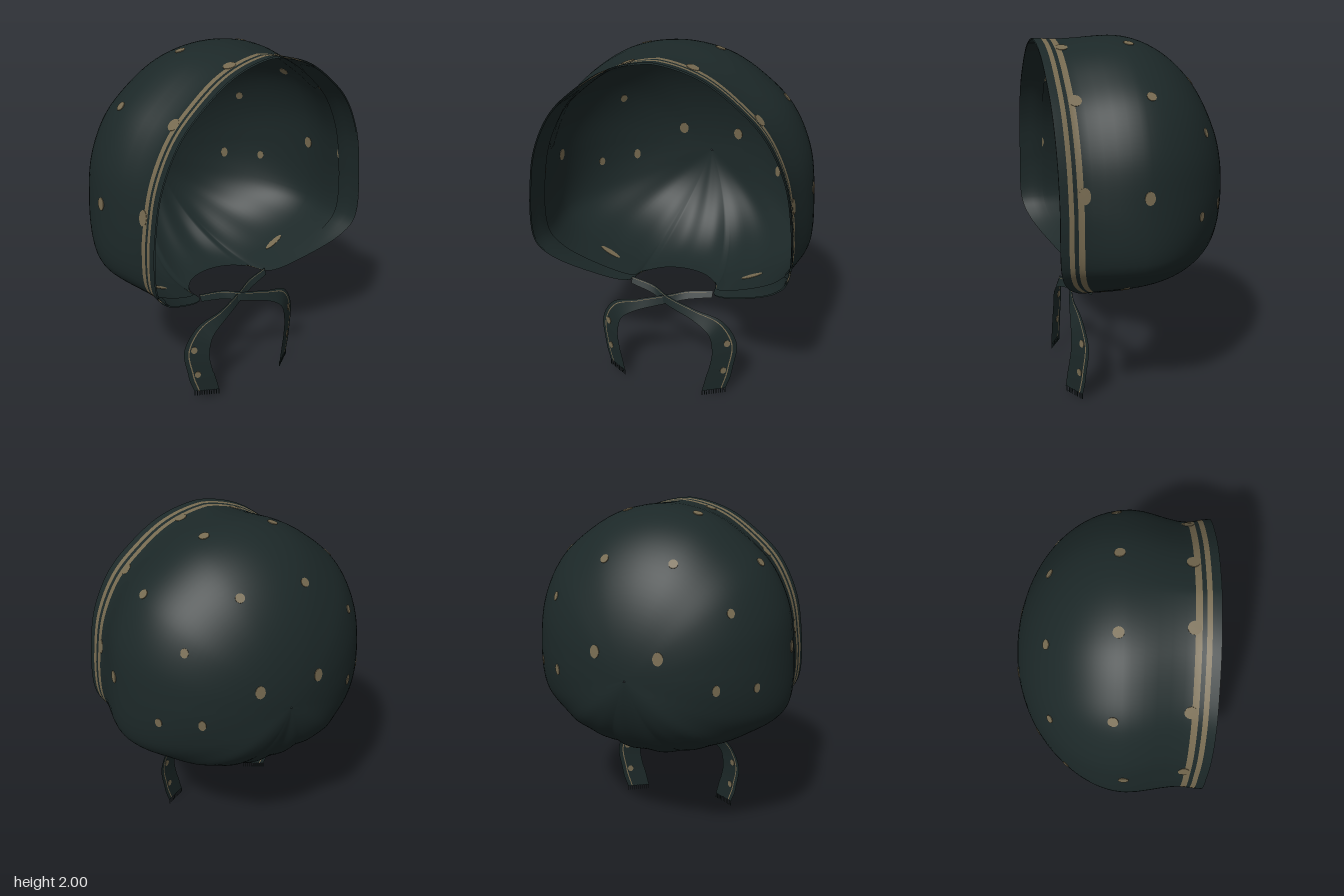
import * as THREE from 'three';

const V = (x, y, z) => new THREE.Vector3(x, y, z);
const cloth = new THREE.MeshStandardMaterial({ color: 0x1c2828, side: THREE.DoubleSide });
cloth.name = 'dark green cloth';
const tan = new THREE.MeshStandardMaterial({ color: 0x766a50, side: THREE.DoubleSide });
tan.name = 'tan print';

// Sheet of rows x columns; isTan(i) colours the strip between row i and i + 1
function sheet(name, rows, cols, wrap, point, isTan) {
  const pos = [], index = [], geo = new THREE.BufferGeometry();
  const n = wrap ? cols : cols + 1;
  for (const r of rows) for (let j = 0; j < n; j++) pos.push(...point(j / cols, r).toArray());
  for (let i = 0; i < rows.length - 1; i++) {
    geo.addGroup(index.length, cols * 6, isTan(i) ? 1 : 0);
    for (let j = 0; j < cols; j++) {
      const a = i * n + j, b = i * n + (j + 1) % n;
      index.push(a, b, a + n, b, b + n, a + n);
    }
  }
  geo.setAttribute('position', new THREE.Float32BufferAttribute(pos, 3));
  geo.setIndex(index);
  geo.computeVertexNormals();
  const mesh = new THREE.Mesh(geo, [cloth, tan]);
  mesh.name = name;
  return mesh;
}

// Thin round patch that shows on both sides of the cloth
function dot(name, p, normal, radius, stretch = 1) {
  const mesh = new THREE.Mesh(new THREE.CylinderGeometry(radius, radius, 0.006, 14), tan);
  mesh.name = name;
  mesh.position.copy(p);
  const up = V(0, 1, 0).projectOnPlane(normal).normalize();
  mesh.quaternion.setFromRotationMatrix(
    new THREE.Matrix4().makeBasis(V().crossVectors(normal, up), normal, up));
  mesh.scale.z = stretch;
  return mesh;
}

// Free edge: face rim from the crown down to the neck, then round the neck hole
const half = [
  [0, 2, 0.52], [0.255, 1.955, 0.52], [0.465, 1.83, 0.52], [0.61, 1.69, 0.52],
  [0.715, 1.475, 0.52], [0.752, 1.24, 0.52], [0.75, 0.92, 0.52], [0.68, 0.82, 0.49],
  [0.465, 0.69, 0.39], [0.27, 0.605, 0.28], [0.23, 0.585, 0.13], [0.13, 0.58, 0.03], [0, 0.58, 0],
].map((p) => V(...p));
const edge = new THREE.CatmullRomCurve3(
  [...half, ...half.slice(1, -1).reverse().map((p) => V(-p.x, p.y, p.z))], true, 'centripetal');
const BACK = -0.52, MID = 1.17;
const { smoothstep, lerp } = THREE.MathUtils;

// v 0..1 runs from the back of the head to the widest ring, 1..2 on to the free edge
function bonnetPoint(u, v) {
  const b = edge.getPoint(u % 1);
  const c = Math.min(0.1, b.z);
  const phi = Math.min(v, 1) * Math.PI / 2;
  const z = v <= 1 ? c + (BACK - c) * Math.cos(phi) : lerp(c, b.z, v - 1);
  const a = Math.abs(Math.atan2(b.x, MID - b.y));
  // flatter towards the nape, fuller below the ears
  const power = 1 + 0.15 * Math.exp(-((a / 0.22) ** 2)) - 0.25 * Math.exp(-(((a - 0.75) / 0.4) ** 2));
  let k = Math.sin(phi) ** power;
  // the cheek corner rounds off towards the back
  if (b.y < MID) k *= lerp(1 / Math.hypot(b.x / 0.752, (MID - b.y) / 0.6), 1, smoothstep(v, 0.3, 1));
  // gathered pleats towards the nape
  if (v < 1) k *= 1 - 0.008 * (1 - smoothstep(a, 0.5, 1.5)) * Math.sin(Math.PI * v) * Math.cos(a * 19);
  const p = V(b.x * k, MID + (b.y - MID) * k, z);
  // draws in ahead of the ears, then flares a little at the hem
  if (z > 0.1) {
    const t = smoothstep(z, 0.1, 0.4) - 0.3 * smoothstep(z, 0.4, 0.52);
    const diagonal = b.y > MID ? Math.abs(Math.sin(2 * a)) : 0;
    p.x *= 1 - t * (0.05 + 0.035 * diagonal) * smoothstep(p.y, 0.6, 0.85);
    if (b.y > MID) p.y -= (p.y - MID) * t * (0.018 + 0.04 * diagonal);
  }
  return p;
}

function bonnet() {
  const group = new THREE.Group();
  group.name = 'bonnet';
  const rows = [];
  for (let i = 0; i <= 28; i++) rows.push(Math.max(i / 28, 0.002));
  rows.push(1.15, 1.3, 1.45, 1.6);
  const first = rows.length;
  rows.push(1.71, 1.785, 1.835, 1.895, 2);
  group.add(sheet('hood', rows, 192, true, bonnetPoint, (i) => i === first || i === first + 2));

  // plain lining behind the striped hem
  const liningPoint = (u, v) => {
    const p = bonnetPoint(u, v);
    return V(p.x * 0.99, MID + (p.y - MID) * 0.99, p.z);
  };
  group.add(sheet('hemLining', [1.66, 1.72, 1.78, 1.84, 1.9, 2], 192, true, liningPoint, () => false));

  // printed dots: approximate place, radius, stretch
  const samples = [];
  for (let i = 0; i < 240; i++) for (let j = 2; j < 98; j++) {
    const u = i / 240, v = j / 50;
    samples.push({ u, v, p: bonnetPoint(u, v) });
  }
  const spots = [
    [0.19, 1.76, -0.31, 0.025, 1], [0.185, 1.31, -0.49, 0.028, 1.3], [0.5, 1.52, -0.29, 0.021, 1.2],
    [0.455, 1.13, -0.39, 0.021, 1.5], [0.62, 1.13, -0.205, 0.02, 1.3], [0.2, 1.96, 0.035, 0.028, 1],
    [0.565, 1.74, 0.025, 0.026, 1], [0.75, 1.275, 0.075, 0.027, 1.3], [0.44, 0.69, 0.12, 0.02, 3.4],
    [0.18, 1.95, 0.395, 0.033, 1], [0.53, 1.73, 0.395, 0.033, 1], [0.72, 1.28, 0.395, 0.03, 1.4],
  ];
  for (const [x, y, z, r, stretch] of spots) for (const side of [1, -1]) {
    const target = V(x * side, y, z);
    let best = samples[0];
    for (const s of samples) if (s.p.distanceToSquared(target) < best.p.distanceToSquared(target)) best = s;
    const { u, v, p } = best;
    const normal = bonnetPoint(u + 0.004, v).sub(p).cross(bonnetPoint(u, v + 0.01).sub(p)).normalize();
    group.add(dot('hoodDot', p, normal, r, stretch));
  }
  return group;
}

// Tie ribbon from one neck corner, crossing in front to hang on the other side
function tie(side) {
  const group = new THREE.Group();
  group.name = side > 0 ? 'leftTie' : 'rightTie';
  const drop = side > 0 ? 0 : 0.03;
  const m = ([x, y, z]) => V(x * side, y, z);
  const path = new THREE.CatmullRomCurve3([
    [-0.25, 0.6, 0.26], [-0.1, 0.58, 0.29], [0, 0.555, 0.33 + side * 0.008], [0.17, 0.512, 0.37],
    [0.3, 0.45, 0.37], [0.355, 0.33, 0.362], [0.34, 0.18 + drop / 2, 0.375], [0.305, 0.03 + drop, 0.39],
  ].map(m));
  // half widths along the path
  const width = new THREE.CatmullRomCurve3([
    [0, 0.018, -0.01], [0, 0.022, -0.012], [0.003, 0.026, -0.006], [0.01, 0.028, -0.01],
    [0.035, 0.035, -0.025], [0.063, 0.012, -0.037], [0.063, 0, -0.037], [0.063, 0, -0.037],
  ].map(m));
  const at = (t, q) => path.getPoint(t).addScaledVector(width.getPoint(t), q);
  group.add(sheet('ribbon', [-1, -0.4, 0.2, 0.56, 0.66, 1], 56, false, at, (i) => i === 3));

  for (const t of [0.7, 0.87]) {
    const p = at(t, 0.25);
    const normal = at(t + 0.01, 0.25).sub(p).cross(width.getPoint(t)).normalize();
    group.add(dot('ribbonDot', p, normal, 0.018, 1.2));
  }
  // frayed end
  for (let i = 0; i < 11; i++) {
    const thread = new THREE.Mesh(new THREE.BoxGeometry(0.004, 0.032, 0.004), cloth);
    thread.name = 'fringeThread';
    thread.position.copy(at(1, -0.96 + i * 0.192));
    thread.position.y -= 0.014;
    group.add(thread);
  }
  return group;
}

export function createModel() {
  const model = new THREE.Group();
  model.name = 'tiedBonnet';
  model.add(bonnet(), tie(1), tie(-1));
  return model;
}
